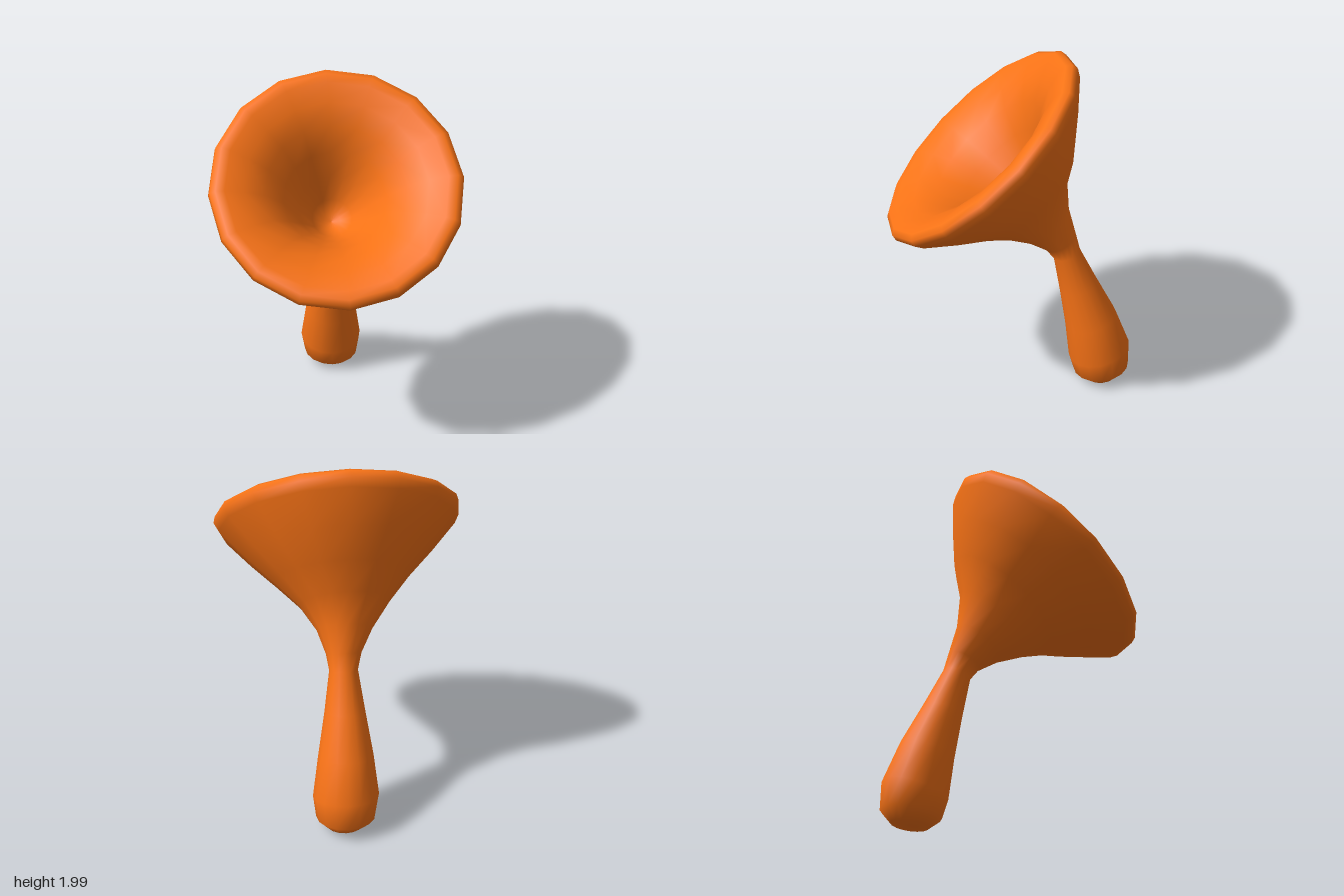
import * as THREE from 'three';

const SIDES = 16;
const v = (x, y, z) => new THREE.Vector3(x, y, z);

// Skin of circular rings, each { c: centre, n: axis, r: radius }, ordered from the foot upward
function skinRings(rings) {
  const pos = [], index = [];
  for (const { c, n, r } of rings) {
    const axis = n.clone().normalize();
    const u = v(1, 0, 0).addScaledVector(axis, -axis.x).normalize();
    const w = axis.clone().cross(u);
    for (let j = 0; j < SIDES; j++) {
      const t = ((j + 0.5) / SIDES) * Math.PI * 2;
      const p = c.clone().addScaledVector(u, r * Math.cos(t)).addScaledVector(w, r * Math.sin(t));
      pos.push(p.x, p.y, p.z);
    }
  }
  for (let i = 0; i < rings.length - 1; i++) {
    for (let j = 0; j < SIDES; j++) {
      const k = (j + 1) % SIDES;
      const a = i * SIDES + j, b = i * SIDES + k;
      index.push(a, b, b + SIDES, a, b + SIDES, a + SIDES);
    }
  }
  const geo = new THREE.BufferGeometry();
  geo.setAttribute('position', new THREE.Float32BufferAttribute(pos, 3));
  geo.setIndex(index);
  geo.computeVertexNormals();
  return geo;
}

export function createModel() {
  const group = new THREE.Group();
  group.name = 'flaredCup';

  // Foot: nearly level underside with a rounded edge
  const footAxis = v(0.03, 0.99, 0.12);
  const foot = [
    [-0.13, 0.015, -0.525, 0],
    [-0.13, 0.018, -0.525, 0.1],
    [-0.135, 0.075, -0.518, 0.162],
  ].map(([x, y, z, r]) => ({ c: v(x, y, z), n: footAxis, r }));

  // Handle: swelling, then tapering to the neck
  const stemAxis = v(0.05, 0.97, 0.25);
  const handle = [
    [-0.134, 0.2, -0.502, 0.18],
    [-0.125, 0.42, -0.447, 0.15],
    [-0.11, 0.65, -0.372, 0.11],
  ].map(([x, y, z, r]) => ({ c: v(x, y, z), n: stemAxis, r }));

  // Neck: bends from the handle axis to the bowl axis
  const bowlAxis = v(0.15, 0.75, 0.645).normalize();
  const neck = [
    { c: v(-0.094, 0.865, -0.302), n: v(0.05, 0.95, 0.3), r: 0.077 },
    { c: v(-0.09, 0.945, -0.265), n: v(0.1, 0.87, 0.45), r: 0.095 },
    { c: v(-0.085, 1.05, -0.19), n: v(0.13, 0.78, 0.62), r: 0.15 },
    { c: v(-0.075, 1.165, -0.11), n: bowlAxis, r: 0.245 },
  ];

  // Bowl: outer wall, rolled lip and deep hollow, as [offset along axis, radius]
  const mouth = v(0.004, 1.568, 0.186);
  const bowl = [
    [-0.38, 0.365], [-0.24, 0.505], [-0.09, 0.642], [-0.045, 0.666],
    [-0.01, 0.659], [0.008, 0.628], [0.006, 0.58], [-0.03, 0.48], [-0.095, 0.372],
    [-0.22, 0.275], [-0.36, 0.19], [-0.5, 0.11], [-0.55, 0.05], [-0.56, 0],
  ].map(([a, r]) => ({ c: mouth.clone().addScaledVector(bowlAxis, a), n: bowlAxis, r }));

  const body = new THREE.Mesh(
    skinRings([...foot, ...handle, ...neck, ...bowl]),
    new THREE.MeshStandardMaterial({ color: 0xf97316 })
  );
  body.name = 'cupAndHandle';
  group.add(body);
  return group;
}
